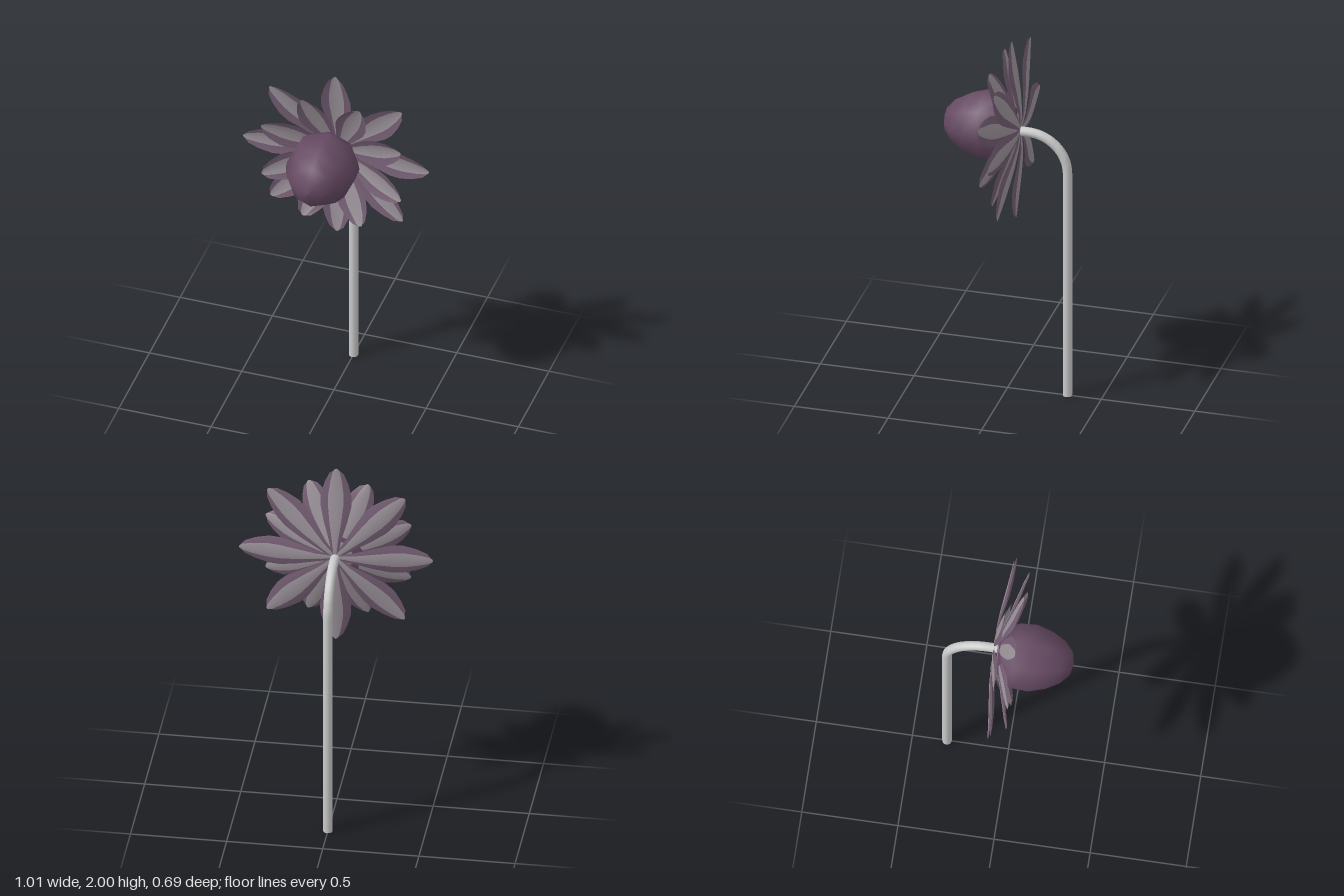
import * as THREE from 'three';

const mat = (color, side = THREE.FrontSide) => new THREE.MeshStandardMaterial({ color, side });

// Cupped leaf-shaped petal along +y; rows are [distance, half width, z of midrib]
function petalGeometry(rows, cup) {
  const cols = [-1, -0.5, 0, 0.5, 1], pos = [], idx = [];
  for (const [r, w, z] of rows)
    for (const c of cols) pos.push(c * w, r - 0.012 * c * c * (r > 0.45 * rows.at(-1)[0] ? 1 : 0), z + cup * c * c * w / 0.08);
  for (let c = 0; c < 4; c++)
    for (let i = 0; i < rows.length - 1; i++) {
      const a = i * 5 + c, b = a + 5;
      idx.push(a, a + 1, b + 1, a, b + 1, b);
    }
  const g = new THREE.BufferGeometry();
  g.setAttribute('position', new THREE.Float32BufferAttribute(pos, 3));
  g.setIndex(idx);
  // dark margins either side of a pale midrib
  const n = (rows.length - 1) * 6;
  g.addGroup(0, n, 0);
  g.addGroup(n, 2 * n, 1);
  g.addGroup(3 * n, n, 0);
  g.computeVertexNormals();
  return g;
}

export function createModel() {
  const model = new THREE.Group();

  // Stem: straight stalk, quarter bend, short neck into the flower
  const path = new THREE.CurvePath();
  const bend = [];
  for (let i = 0; i <= 12; i++) {
    const a = (i / 12) * Math.PI / 2;
    bend.push(new THREE.Vector3(0, 1.28 + 0.21 * Math.sin(a), -0.32 + 0.21 * (1 - Math.cos(a))));
  }
  const points = [new THREE.Vector3(0, 0, -0.32), ...bend, new THREE.Vector3(0, 1.49, -0.05)];
  for (let i = 1; i < points.length; i++) path.add(new THREE.LineCurve3(points[i - 1], points[i]));
  const stem = new THREE.Mesh(new THREE.TubeGeometry(path, 90, 0.025, 12), mat(0xcccccc));
  stem.name = 'stem';
  const foot = new THREE.Mesh(new THREE.CircleGeometry(0.025, 12).rotateX(Math.PI / 2), mat(0xcccccc));
  foot.name = 'stemFoot';
  foot.position.z = -0.32;
  model.add(stem, foot);

  // Flower head, tipped slightly forward
  const flower = new THREE.Group();
  flower.name = 'flower';
  flower.position.set(0, 1.495, 0);
  flower.rotation.x = 0.025;
  model.add(flower);

  const petalMats = [mat(0x745e73, THREE.DoubleSide), mat(0x9c939b, THREE.DoubleSide)];
  const addRing = (name, geometry, offset) => {
    for (let i = 0; i < 8; i++) {
      const petal = new THREE.Mesh(geometry, petalMats);
      petal.name = name;
      petal.rotation.z = offset + i * Math.PI / 4;
      flower.add(petal);
    }
  };
  addRing('outerPetal', petalGeometry([
    [0, 0.012, -0.072], [0.1, 0.032, -0.077], [0.2, 0.06, -0.07], [0.3, 0.08, -0.058],
    [0.36, 0.08, -0.05], [0.43, 0.062, -0.042], [0.485, 0.038, -0.036], [0.505, 0.015, -0.034],
  ], 0.014), 0);
  addRing('innerPetal', petalGeometry([
    [0, 0.012, -0.06], [0.08, 0.032, -0.05], [0.16, 0.06, -0.028], [0.24, 0.08, -0.006],
    [0.29, 0.08, 0.009], [0.35, 0.062, 0.026], [0.395, 0.038, 0.042], [0.41, 0.015, 0.048],
  ], 0.014), Math.PI / 8);

  // Egg-shaped centre
  const profile = [[0, -0.05], [0.1, -0.045], [0.155, -0.01], [0.182, 0.045], [0.187, 0.13],
    [0.16, 0.215], [0.118, 0.285], [0.064, 0.331], [0, 0.344]].map(([r, z]) => new THREE.Vector2(r, z));
  const centre = new THREE.Mesh(new THREE.LatheGeometry(profile, 8).rotateX(Math.PI / 2), mat(0x664a63));
  centre.name = 'flowerCentre';
  centre.position.set(-0.028, 1.495, 0);
  centre.rotation.z = -0.04;
  model.add(centre);

  return model;
}
